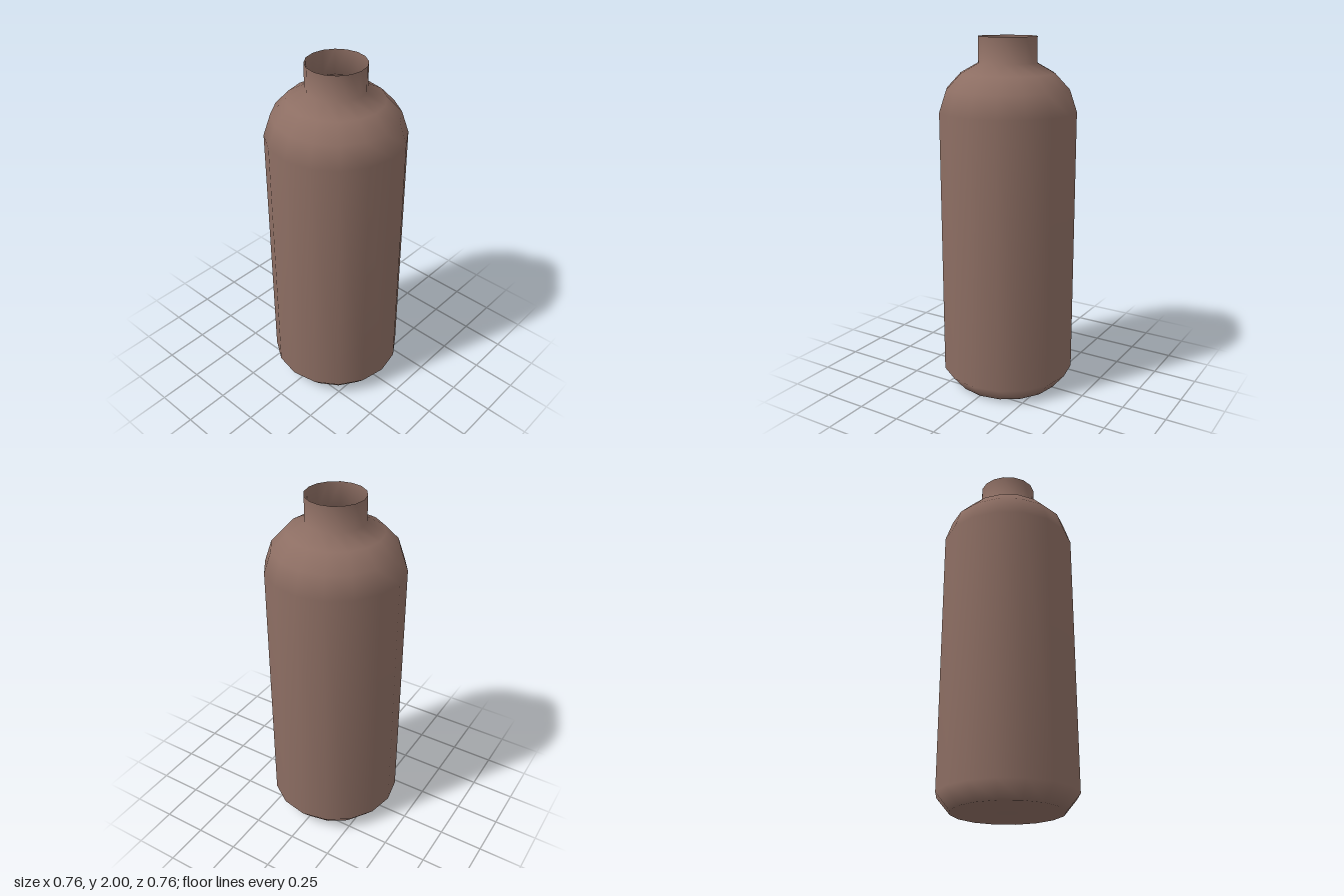
import * as THREE from 'three';

const SIDES = 16;

// Smooth 16-sided solid of revolution from [radius, height] pairs, bottom to top
function turned(name, profile, color) {
  const points = profile.map(([r, y]) => new THREE.Vector2(r, y));
  const material = new THREE.MeshStandardMaterial({ color, side: THREE.DoubleSide });
  const mesh = new THREE.Mesh(new THREE.LatheGeometry(points, SIDES), material);
  mesh.name = name;
  return mesh;
}

export function createModel() {
  const group = new THREE.Group();
  group.name = 'bottle';

  // Thin shell: base, chamfer, straight body, rounded shoulder, open neck
  group.add(turned('bottleShell', [
    [0, 0], [0.305, 0], [0.38, 0.09], [0.38, 1.6],
    [0.34, 1.72], [0.26, 1.805], [0.162, 1.86], [0.162, 2],
  ], 0x8d6e63));

  // Liquid filling the lower part of the shell
  group.add(turned('liquid', [
    [0, 0.03], [0.29, 0.03], [0.355, 0.11], [0.355, 1.2], [0, 1.2],
  ], 0xcc6fa0));

  return group;
}
